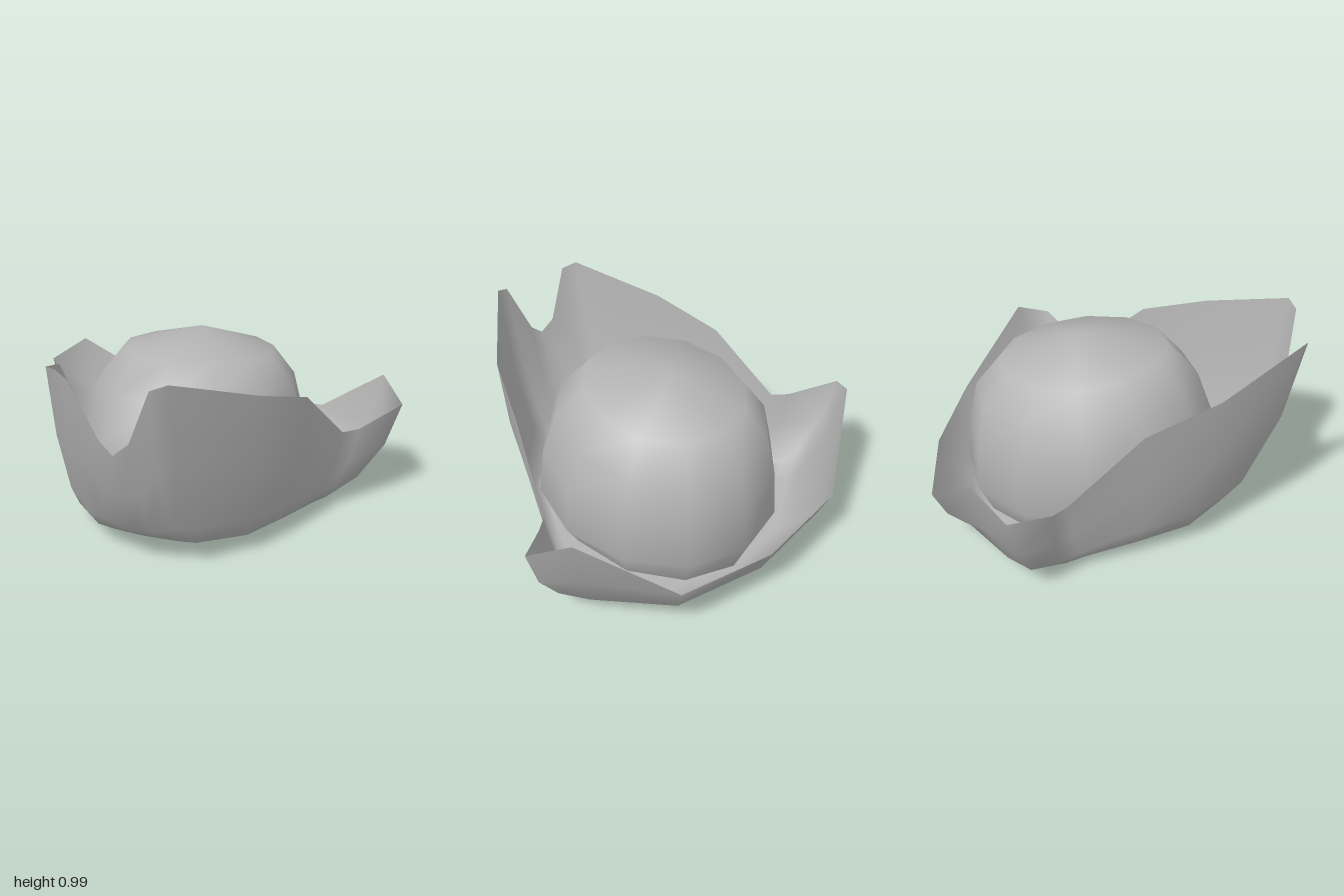
import * as THREE from 'three';

const felt = new THREE.MeshStandardMaterial({ color: 0xb4b4b4, side: THREE.DoubleSide });
felt.name = 'grey felt';

// Skins closed rings (bottom to top), optionally closed by a point at either end
function loft(rings, bottom, top) {
  const n = rings[0].length, index = [];
  const points = rings.flat();
  for (let j = 0; j < rings.length - 1; j++) {
    for (let i = 0; i < n; i++) {
      const k = (i + 1) % n;
      const a = j * n + i, b = j * n + k, c = a + n, d = b + n;
      index.push(a, b, d, a, d, c);
    }
  }
  const cap = (point, row, flip) => {
    const p = points.push(point) - 1;
    for (let i = 0; i < n; i++) {
      const a = row * n + i, b = row * n + (i + 1) % n;
      index.push(...(flip ? [b, a, p] : [a, b, p]));
    }
  };
  if (bottom) cap(bottom, 0, true);
  if (top) cap(top, rings.length - 1, false);
  const g = new THREE.BufferGeometry();
  g.setAttribute('position', new THREE.Float32BufferAttribute(points.flat(), 3));
  g.setIndex(index);
  g.computeVertexNormals();
  return g;
}

// Mirrors a half outline (front centre to back centre) into a full ring
const mirrorRing = half => [
  ...half,
  ...half.slice(1, -1).reverse().map(([x, y, z]) => [-x, y, z]),
];

// Turned-up brim: notch in front, dip and pointed wing at each side, low back
function makeBrim() {
  const rim = mirrorRing([
    [0, 0.65, 0.875], [0.07, 0.71, 0.865], [0.18, 0.97, 0.9], [0.25, 0.995, 0.87],
    [0.52, 0.85, 0.49], [0.64, 0.74, 0.155], [0.75, 0.445, -0.18], [0.82, 0.45, -0.24],
    [1, 0.545, -0.41], [0.87, 0.635, -0.57], [0.5, 0.31, -0.84], [0, 0.28, -0.905],
  ]);
  const base = mirrorRing([
    [0, 0.115, 0.585], [0.08, 0.115, 0.58], [0.17, 0.113, 0.57], [0.25, 0.11, 0.55],
    [0.44, 0.1, 0.38], [0.55, 0.085, 0.13], [0.64, 0.065, -0.12], [0.68, 0.06, -0.2],
    [0.73, 0.07, -0.32], [0.66, 0.05, -0.42], [0.38, 0.02, -0.62], [0, 0.005, -0.69],
  ]);
  const centre = [0, 0.055, -0.08];
  // Blend from base to rim; separate rates outward and upward make the wall bulge
  const between = (h, v) => base.map(([x, y, z], i) => [
    x + (rim[i][0] - x) * h, y + (rim[i][1] - y) * v, z + (rim[i][2] - z) * h,
  ]);
  const floor = base.map(p => p.map((c, i) => centre[i] + (c - centre[i]) * 0.92));
  return loft([floor, base, between(0.3, 0.13), between(0.75, 0.53), rim], centre);
}

// Tilted twelve-sided dome: each ring is [front z, front y, back z, back y, half width]
function makeCrown() {
  const rings = [
    [0.51, 0.115, -0.68, 0.03, 0.5],
    [0.56, 0.2, -0.75, 0.2, 0.575],
    [0.51, 0.46, -0.725, 0.44, 0.56],
    [0.42, 0.7, -0.68, 0.63, 0.5],
    [0.27, 0.86, -0.56, 0.78, 0.38],
  ].map(([zf, yf, zb, yb, w]) => Array.from({ length: 12 }, (_, i) => {
    const a = i * Math.PI / 6, t = (1 + Math.cos(a)) / 2;
    return [w * Math.sin(a), yb + (yf - yb) * t, zb + (zf - zb) * t];
  }));
  return loft(rings, null, [0, 0.915, -0.19]);
}

export function createModel() {
  const hat = new THREE.Group();
  hat.name = 'hat';
  const add = (name, geometry) => {
    const mesh = new THREE.Mesh(geometry, felt);
    mesh.name = name;
    hat.add(mesh);
  };
  add('brim', makeBrim());
  add('crown', makeCrown());
  return hat;
}
